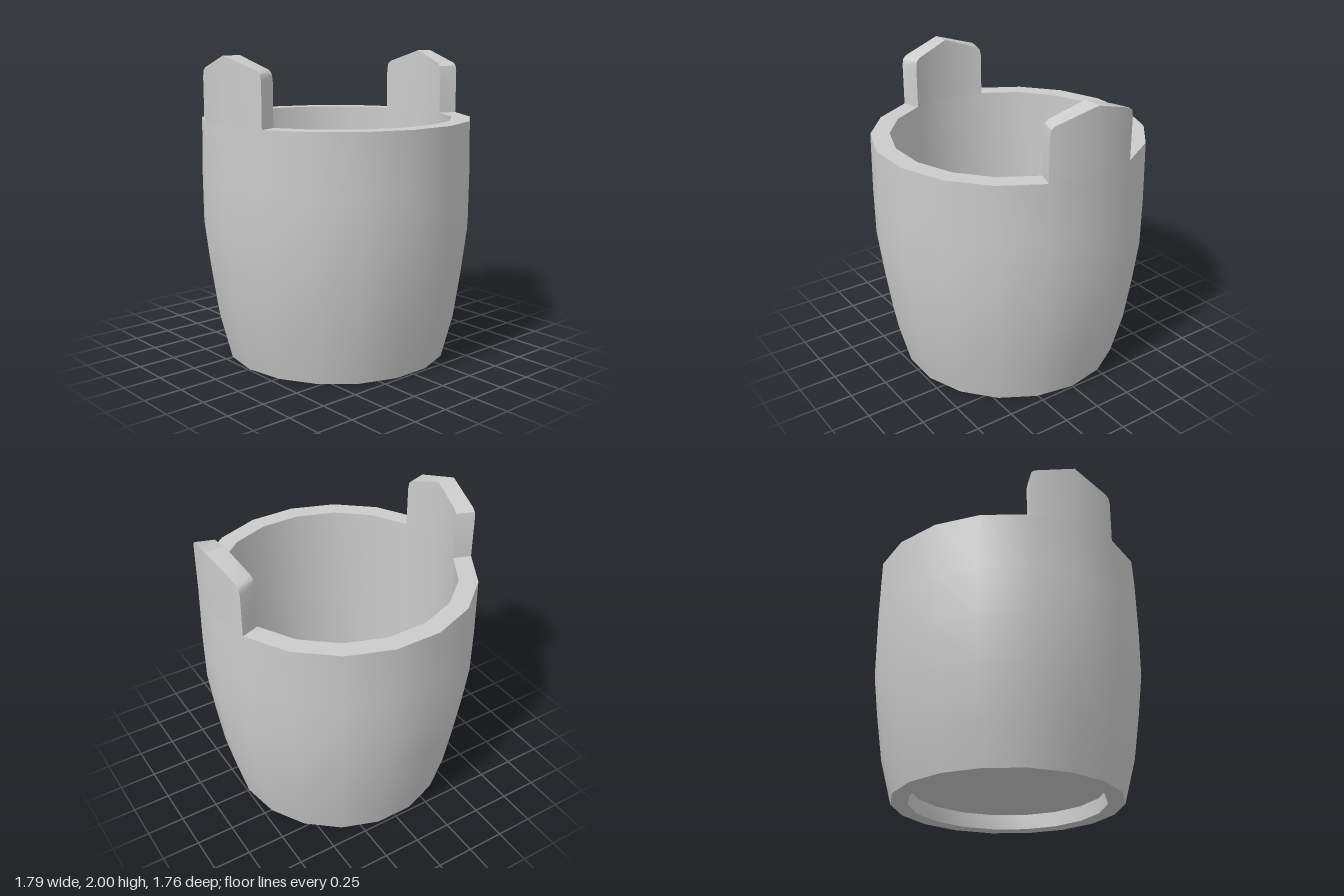
import * as THREE from 'three';
import { toCreasedNormals } from 'three/addons/utils/BufferGeometryUtils.js';

const SIDES = 18, STEP = (Math.PI * 2) / SIDES;
const R_OUT = 0.888, R_IN = 0.765, RIM = 1.58;

// Upright lug standing on the rim, spanning the two facets around +x
function lugGeometry() {
  // [z as a fraction of the half width, top height]
  const half = [[1, 1.86], [0.97, 1.9], [0.89, 1.92]];
  const outline = [...half, [0, 2], ...half.map(([f, y]) => [-f, y]).reverse()];
  const pos = [], idx = [];
  const put = (r, f, y) => {
    const a = Math.abs(f);
    pos.push(r * (1 - a + a * Math.cos(STEP)), y, r * f * Math.sin(STEP));
  };
  // Four-cornered cross-sections running from +z to -z
  for (const [f, y] of outline) {
    put(R_OUT, f, RIM);
    put(R_OUT, f, y);
    put(R_IN, f, y);
    put(R_IN, f, RIM);
  }
  const n = outline.length;
  for (let i = 0; i < n - 1; i++) {
    for (let k = 0; k < 4; k++) {
      const a = i * 4 + k, b = i * 4 + ((k + 1) % 4);
      idx.push(a, a + 4, b, b, a + 4, b + 4);
    }
  }
  const e = (n - 1) * 4;
  idx.push(0, 1, 2, 0, 2, 3, e, e + 2, e + 1, e, e + 3, e + 2);
  let geo = new THREE.BufferGeometry();
  geo.setAttribute('position', new THREE.Float32BufferAttribute(pos, 3));
  geo.setIndex(idx);
  geo = toCreasedNormals(geo, 0.6);

  // Radial normals on the curved faces so they blend into the wall
  const p = geo.attributes.position, nor = geo.attributes.normal;
  const radial = new THREE.Vector3(), v = new THREE.Vector3();
  for (let i = 0; i < p.count; i++) {
    radial.set(p.getX(i), 0, p.getZ(i)).normalize();
    const d = v.fromBufferAttribute(nor, i).dot(radial);
    if (Math.abs(d) > 0.9) nor.setXYZ(i, radial.x * Math.sign(d), 0, radial.z * Math.sign(d));
  }
  return geo;
}

export function createModel() {
  const group = new THREE.Group();
  group.name = 'bucket';
  const material = new THREE.MeshStandardMaterial({ color: 0xcccccc });

  // Bulging wall, flat rim, inner wall, floor and recessed underside
  const profile = [
    [0, 0.1], [0.63, 0.1], [0.63, 0], [0.74, 0],
    [0.815, 0.29], [0.86, 0.6], [0.893, 0.88], [0.895, 1.2], [R_OUT, RIM],
    [R_IN, RIM], [R_IN, 0.2], [0, 0.2],
  ].map(([x, y]) => new THREE.Vector2(x, y));
  const bodyGeo = toCreasedNormals(new THREE.LatheGeometry(profile, SIDES, Math.PI / 2), 0.6);
  const body = new THREE.Mesh(bodyGeo, material);
  body.name = 'body';
  group.add(body);

  // Pair of handle lugs
  const lugGeo = lugGeometry();
  ['leftLug', 'rightLug'].forEach((name, i) => {
    const lug = new THREE.Mesh(lugGeo, material);
    lug.name = name;
    lug.rotation.y = i * Math.PI;
    group.add(lug);
  });
  return group;
}
